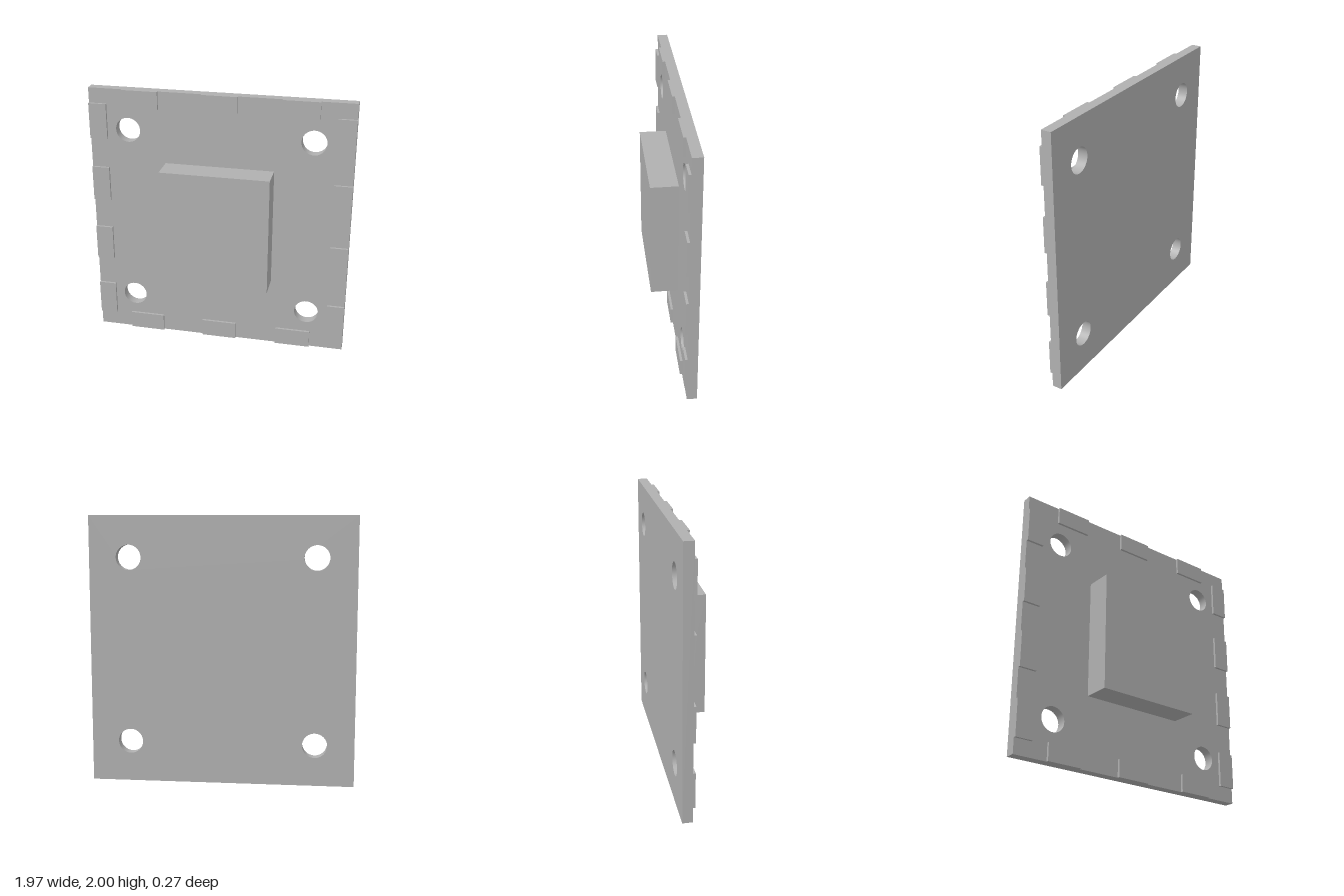
import * as THREE from 'three';
import { toCreasedNormals } from 'three/addons/utils/BufferGeometryUtils.js';

export function createModel() {
  const model = new THREE.Group();
  model.name = 'chipModule';
  const grey = new THREE.MeshStandardMaterial({ color: 0xb0b0b0 });
  grey.name = 'plain grey';

  const halfW = 0.987, backZ = -0.137, faceZ = -0.063, padZ = -0.045, frontZ = 0.137;

  function addBox(name, w, h, x, y, z0, z1) {
    const mesh = new THREE.Mesh(new THREE.BoxGeometry(w, h, z1 - z0), grey);
    mesh.position.set(x, y, (z0 + z1) / 2);
    mesh.name = name;
    model.add(mesh);
  }

  // Base board with four round mounting holes
  const outline = new THREE.Shape();
  outline.moveTo(-halfW, 0).lineTo(halfW, 0).lineTo(halfW, 2).lineTo(-halfW, 2).closePath();
  for (const x of [-0.693, 0.693]) {
    for (const y of [0.307, 1.693]) {
      const hole = new THREE.Path();
      hole.absarc(x, y, 0.093, 0, Math.PI * 2, true);
      outline.holes.push(hole);
    }
  }
  const boardGeometry = new THREE.ExtrudeGeometry(outline, {
    depth: faceZ - backZ, bevelEnabled: false, curveSegments: 24,
  });
  const board = new THREE.Mesh(toCreasedNormals(boardGeometry, 0.6), grey);
  board.position.z = backZ;
  board.name = 'board';
  model.add(board);

  // Raised central block
  addBox('centreBlock', 0.82, 0.906, 0, 1, faceZ, frontZ);

  // Contact pads along the left and right edges
  const long = 0.27, short = 0.134;
  for (const side of [-1, 1]) {
    for (const y of [0.25, 0.75, 1.25, 1.75]) {
      addBox('sidePad', short, long, side * (halfW - short / 2), y, faceZ, padZ);
    }
  }

  // Contact pads along the top and bottom edges
  for (const y of [short / 2, 2 - short / 2]) {
    for (const x of [-0.593, 0, 0.593]) {
      addBox('endPad', long, short, x, y, faceZ, padZ);
    }
  }

  return model;
}
